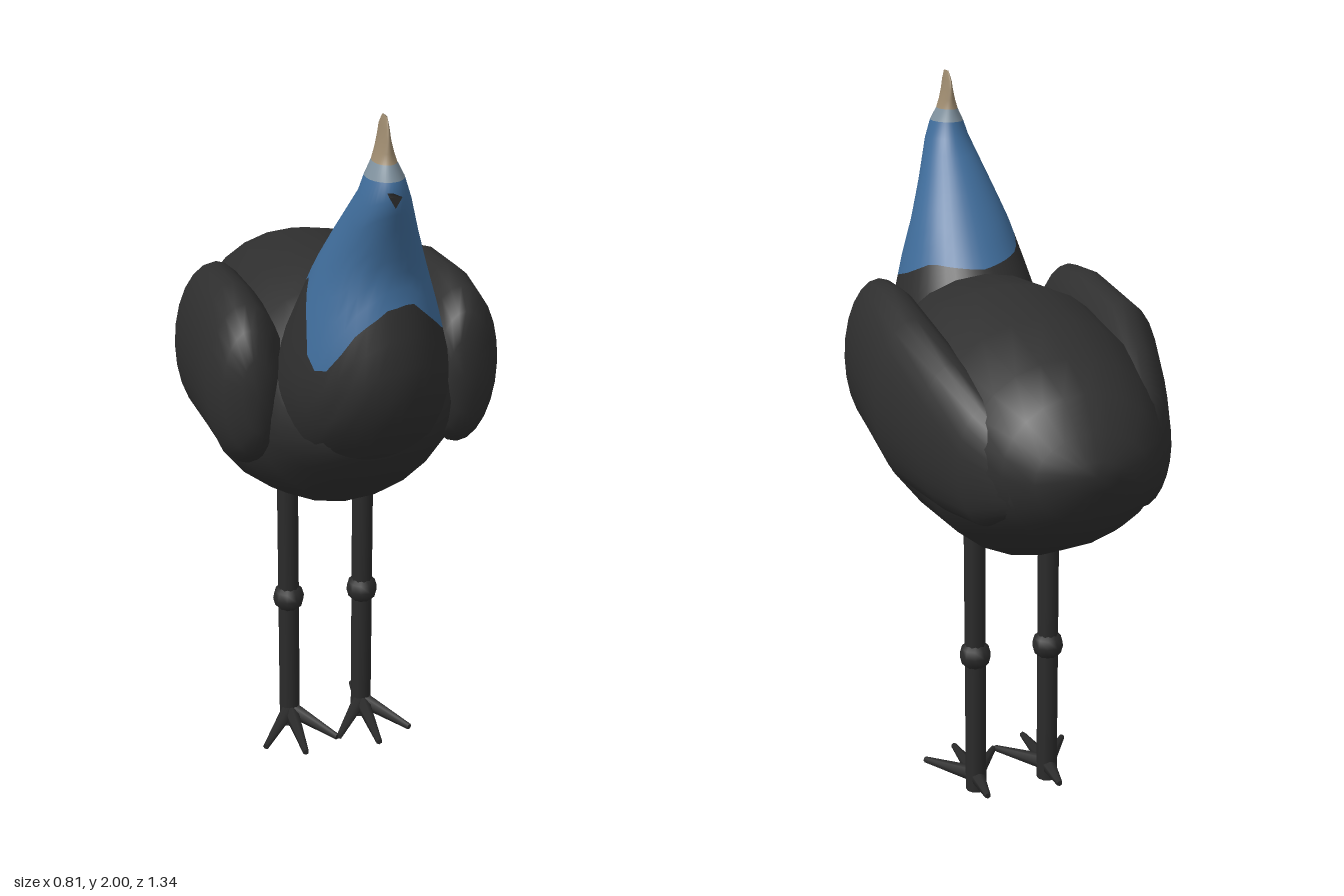
import * as THREE from 'three';

const mat = (name, color) => {
  const m = new THREE.MeshStandardMaterial({ color });
  m.name = name;
  return m;
};

// Closed skin over equal-length rings; rowMat picks a material index per row
function loft(rings, rowMat = () => 0) {
  const n = rings[0].length, pos = [], idx = [];
  const geo = new THREE.BufferGeometry();
  rings.forEach(r => r.forEach(p => pos.push(p.x, p.y, p.z)));
  const centre = r => r.reduce((s, p) => s.add(p), new THREE.Vector3()).divideScalar(n);
  const first = rings[0], last = rings[rings.length - 1], base = (rings.length - 1) * n;
  const c0 = rings.length * n, c1 = c0 + 1;
  for (const c of [centre(first), centre(last)]) pos.push(c.x, c.y, c.z);
  const add = (m, tris) => {
    geo.addGroup(idx.length, tris.length, m);
    idx.push(...tris);
  };
  for (let i = 0; i < rings.length - 1; i++) {
    const row = [];
    for (let j = 0; j < n; j++) {
      const k = (j + 1) % n, a = i * n, b = a + n;
      row.push(a + j, a + k, b + k, a + j, b + k, b + j);
    }
    add(rowMat(i), row);
  }
  const cap0 = [], cap1 = [];
  for (let j = 0; j < n; j++) {
    const k = (j + 1) % n;
    cap0.push(c0, k, j);
    cap1.push(c1, base + j, base + k);
  }
  add(rowMat(0), cap0);
  add(rowMat(rings.length - 2), cap1);
  geo.setAttribute('position', new THREE.Float32BufferAttribute(pos, 3));
  geo.setIndex(idx);
  geo.computeVertexNormals();
  return geo;
}

// Ellipse ring facing along z
function ringZ(z, cx, cy, rx, ry, n = 24) {
  return Array.from({ length: n }, (_, j) => {
    const a = (j / n) * Math.PI * 2;
    return new THREE.Vector3(cx + rx * Math.cos(a), cy + ry * Math.sin(a), z);
  });
}

// Piecewise linear lookup in rows of [key, ...values]
function sample(table, key) {
  let i = 1;
  while (i < table.length - 1 && table[i][0] < key) i++;
  const a = table[i - 1], b = table[i];
  const t = THREE.MathUtils.clamp((key - a[0]) / (b[0] - a[0]), 0, 1);
  return a.slice(1).map((v, k) => THREE.MathUtils.lerp(v, b[k + 1], t));
}

// z, bottom, top, half width
const BODY = [
  [-0.668, 1.13, 1.21, 0.06], [-0.63, 1.04, 1.27, 0.15], [-0.57, 0.97, 1.355, 0.215],
  [-0.45, 0.90, 1.41, 0.275], [-0.27, 0.815, 1.47, 0.33], [0, 0.80, 1.497, 0.36],
  [0.08, 0.80, 1.487, 0.36], [0.2, 0.84, 1.48, 0.32], [0.3, 0.90, 1.45, 0.27],
  [0.4, 1.0, 1.37, 0.225], [0.5, 1.1, 1.28, 0.14],
];

// z, centre x, centre y, half width, half height
const WING = [
  [-0.58, 0.15, 1.14, 0.05, 0.08], [-0.45, 0.21, 1.15, 0.08, 0.16], [-0.3, 0.25, 1.18, 0.095, 0.2],
  [-0.1, 0.29, 1.22, 0.115, 0.23], [0.15, 0.287, 1.25, 0.11, 0.23], [0.29, 0.283, 1.25, 0.105, 0.22],
  [0.345, 0.28, 1.25, 0.075, 0.17], [0.372, 0.27, 1.25, 0.04, 0.1],
];

// y, back z, front z, half width
const NECK = [
  [0.95, 0, 0.34, 0.15], [1.06, 0.03, 0.45, 0.19], [1.17, 0.05, 0.57, 0.215],
  [1.28, 0.08, 0.63, 0.22], [1.37, 0.12, 0.642, 0.205], [1.49, 0.21, 0.615, 0.172],
  [1.6, 0.29, 0.578, 0.138], [1.7, 0.37, 0.595, 0.102], [1.82, 0.475, 0.628, 0.06],
  [1.87, 0.492, 0.612, 0.043], [1.9, 0.5, 0.592, 0.026], [1.95, 0.5, 0.588, 0.012],
  [1.975, 0.505, 0.583, 0.008], [2, 0.528, 0.57, 0.003],
];

// Lower edge of the blue skin: angle from the front (degrees), height
const EDGE = [
  [0, 1.54], [25, 1.55], [40, 1.51], [70, 1.43], [100, 1.46], [130, 1.5], [180, 1.49],
  [230, 1.52], [262, 1.57], [285, 1.49], [300, 1.385], [312, 1.37], [335, 1.49], [360, 1.54],
];

function neckGeometry() {
  const n = 40, rings = [], rows = [], lerp = THREE.MathUtils.lerp;
  for (let i = 0; i <= 8; i++) rows.push(e => lerp(0.95, e, i / 8));
  for (let i = 1; i <= 8; i++) rows.push(e => lerp(e, 1.86, i / 8));
  for (const y of [1.895, 1.92, 1.95, 1.975, 2]) rows.push(() => y);
  for (const row of rows) {
    rings.push(Array.from({ length: n }, (_, j) => {
      const a = (j / n) * Math.PI * 2;
      const y = row(sample(EDGE, (j / n) * 360)[0]);
      const [zb, zf, rx] = sample(NECK, y);
      return new THREE.Vector3(rx * Math.sin(a), y, (zb + zf) / 2 + ((zf - zb) / 2) * Math.cos(a));
    }));
  }
  return loft(rings, i => (i < 8 ? 0 : i < 16 ? 1 : i < 17 ? 2 : 3));
}

export function createModel() {
  const model = new THREE.Group();
  const plumage = mat('black plumage', 0x2f2f2f);
  const blue = mat('blue skin', 0x3f6c9a);
  const pale = mat('pale crown skin', 0x8193a0);
  const tan = mat('tan casque', 0x9f8c70);
  const legMat = mat('dark leg', 0x2b2b2b);

  const add = (parent, name, geo, material) => {
    const m = new THREE.Mesh(geo, material);
    m.name = name;
    parent.add(m);
    return m;
  };

  add(model, 'body', loft(BODY.map(([z, b, t, rx]) => ringZ(z, 0, (b + t) / 2, rx, (t - b) / 2))), plumage);
  // Chest, neck, head and casque in one skin
  add(model, 'neckAndHead', neckGeometry(), [plumage, blue, pale, tan]);

  // Small beak, flaring towards the tip
  const beak = add(model, 'beak', new THREE.CylinderGeometry(0.018, 0.006, 0.055, 3), legMat);
  beak.rotation.x = Math.PI / 2;
  beak.position.set(-0.005, 1.833, 0.642);

  // Tapered toe between two points
  const toe = (parent, name, from, to) => {
    const d = to.clone().sub(from);
    const m = add(parent, name, new THREE.CylinderGeometry(0.009, 0.024, d.length(), 6), legMat);
    m.position.copy(from).addScaledVector(d, 0.5);
    m.quaternion.setFromUnitVectors(new THREE.Vector3(0, 1, 0), d.normalize());
  };

  for (const s of [1, -1]) {
    const side = s > 0 ? 'left' : 'right';
    add(model, side + 'Wing', loft(WING.map(([z, cx, cy, rx, ry]) => ringZ(z, s * cx, cy, rx, ry))), plumage);

    const leg = new THREE.Group();
    leg.name = side + 'Leg';
    leg.position.set(s * 0.11, 0, -0.028);
    add(leg, 'shank', new THREE.CylinderGeometry(0.03, 0.03, 0.86, 10), legMat).position.y = 0.43;
    add(leg, 'joint', new THREE.SphereGeometry(0.046, 10, 6), legMat).position.y = 0.43;
    const root = new THREE.Vector3(0, 0.045, 0);
    toe(leg, 'middleToe', root, new THREE.Vector3(0, 0.03, 0.215));
    toe(leg, 'backToe', root, new THREE.Vector3(0, 0.032, -0.11));
    for (const k of [1, -1]) toe(leg, 'sideToe', root, new THREE.Vector3(k * 0.107, 0.03, 0.16));
    model.add(leg);
  }
  return model;
}
